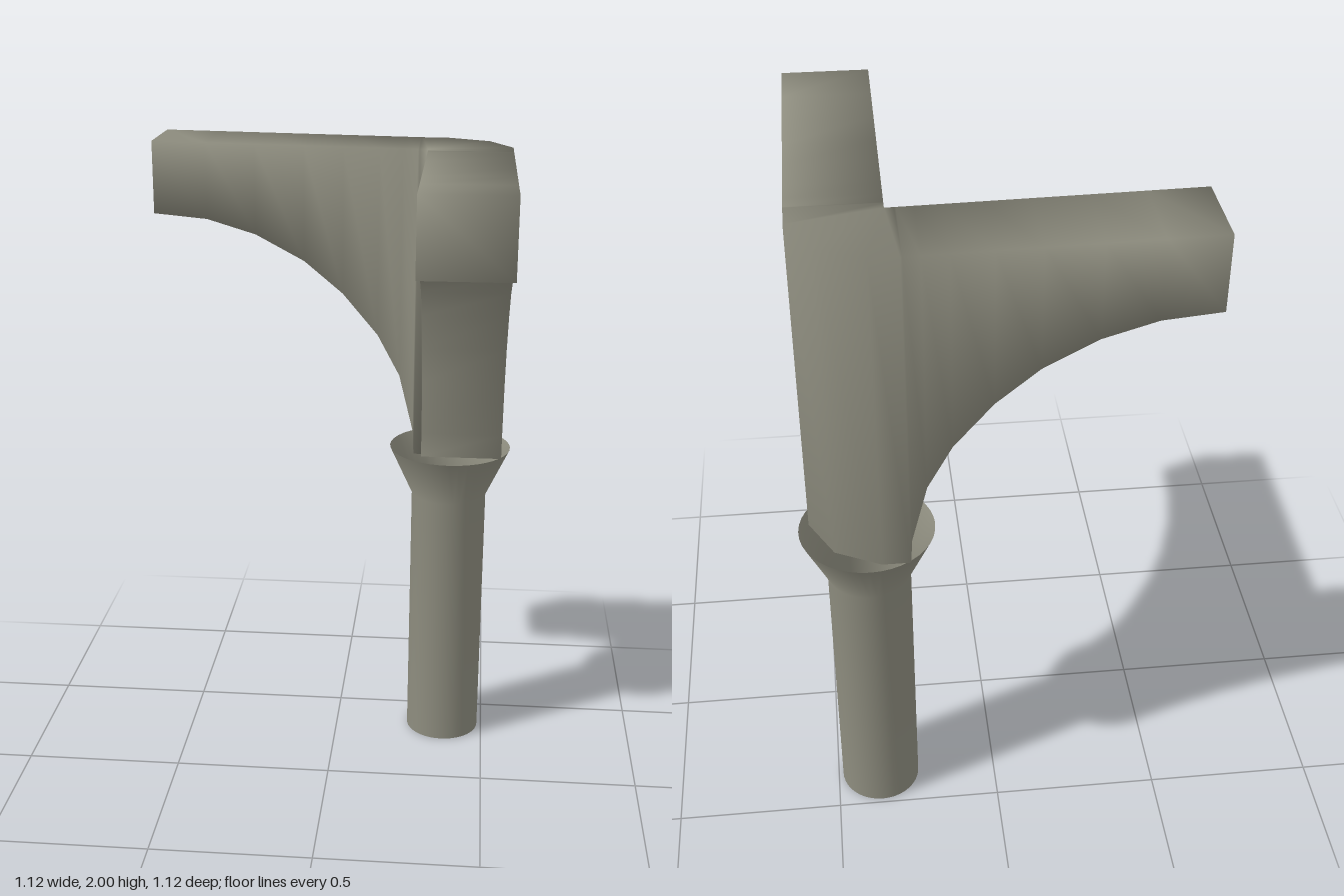
import * as THREE from 'three';
import { mergeVertices } from 'three/addons/utils/BufferGeometryUtils.js';

const stone = new THREE.MeshStandardMaterial({ color: 0x8e8d7f, side: THREE.DoubleSide });
stone.name = 'grey stone';

const INNER = 0.275, OUTER = 0.53;

// Underside of one arm: distance along the arm, height
const UNDERSIDE = [
  [-0.565, 1.78], [-0.4, 1.765], [-0.25, 1.72], [-0.1, 1.64], [0.02, 1.54],
  [0.13, 1.41], [0.2, 1.28], [0.245, 1.1], [0.25, 1.02],
];

// Rectangular sections swept from one arm tip, round the corner, to the other tip
function bracketGeometry() {
  const top = (x) => 2 - 0.014 * Math.min(1, (x + 0.565) / 0.835);
  const arm = UNDERSIDE.map(([x, y]) => ({
    outer: [x, -OUTER], inner: [x, -INNER], bottom: y, top: top(x),
  }));
  const corner = [[0.33, -OUTER], [0.46, -0.465], [OUTER, -0.335]].map((outer) => ({
    outer, inner: [INNER, -INNER], bottom: 1.02, top: 1.986,
  }));
  // The second arm is the first reflected across the corner diagonal
  const flip = ([x, z]) => [-z, -x];
  const otherArm = arm.map((s) => ({ ...s, outer: flip(s.outer), inner: flip(s.inner) })).reverse();
  const stations = [...arm, ...corner, ...otherArm];

  const positions = [], index = [];
  for (const { outer: o, inner: i, bottom, top: t } of stations) {
    positions.push(o[0], bottom, o[1], i[0], bottom, i[1], i[0], t, i[1], o[0], t, o[1]);
  }
  for (let s = 0; s < stations.length - 1; s++) {
    for (let k = 0; k < 4; k++) {
      const a = s * 4 + k, b = s * 4 + (k + 1) % 4;
      index.push(a, a + 4, b, b, a + 4, b + 4);
    }
  }
  // End caps
  const e = (stations.length - 1) * 4;
  index.push(0, 1, 2, 0, 2, 3, e, e + 2, e + 1, e, e + 3, e + 2);

  let geometry = new THREE.BufferGeometry();
  geometry.setAttribute('position', new THREE.Float32BufferAttribute(positions, 3));
  geometry.setIndex(index);
  geometry = mergeVertices(geometry);
  geometry.computeVertexNormals();
  return geometry;
}

export function createModel() {
  const group = new THREE.Group();
  group.name = 'cornerColumn';

  const bracket = new THREE.Mesh(bracketGeometry(), stone);
  bracket.name = 'cornerBracket';
  group.add(bracket);

  // Open pipe with a flared collar
  const profile = [[0.121, 0], [0.121, 0.86], [0.195, 1.02]].map(([r, y]) => new THREE.Vector2(r, y));
  const pipe = new THREE.Mesh(new THREE.LatheGeometry(profile, 40), stone);
  pipe.name = 'flaredColumn';
  pipe.position.set(0.365, 0, -0.365);
  group.add(pipe);

  return group;
}
